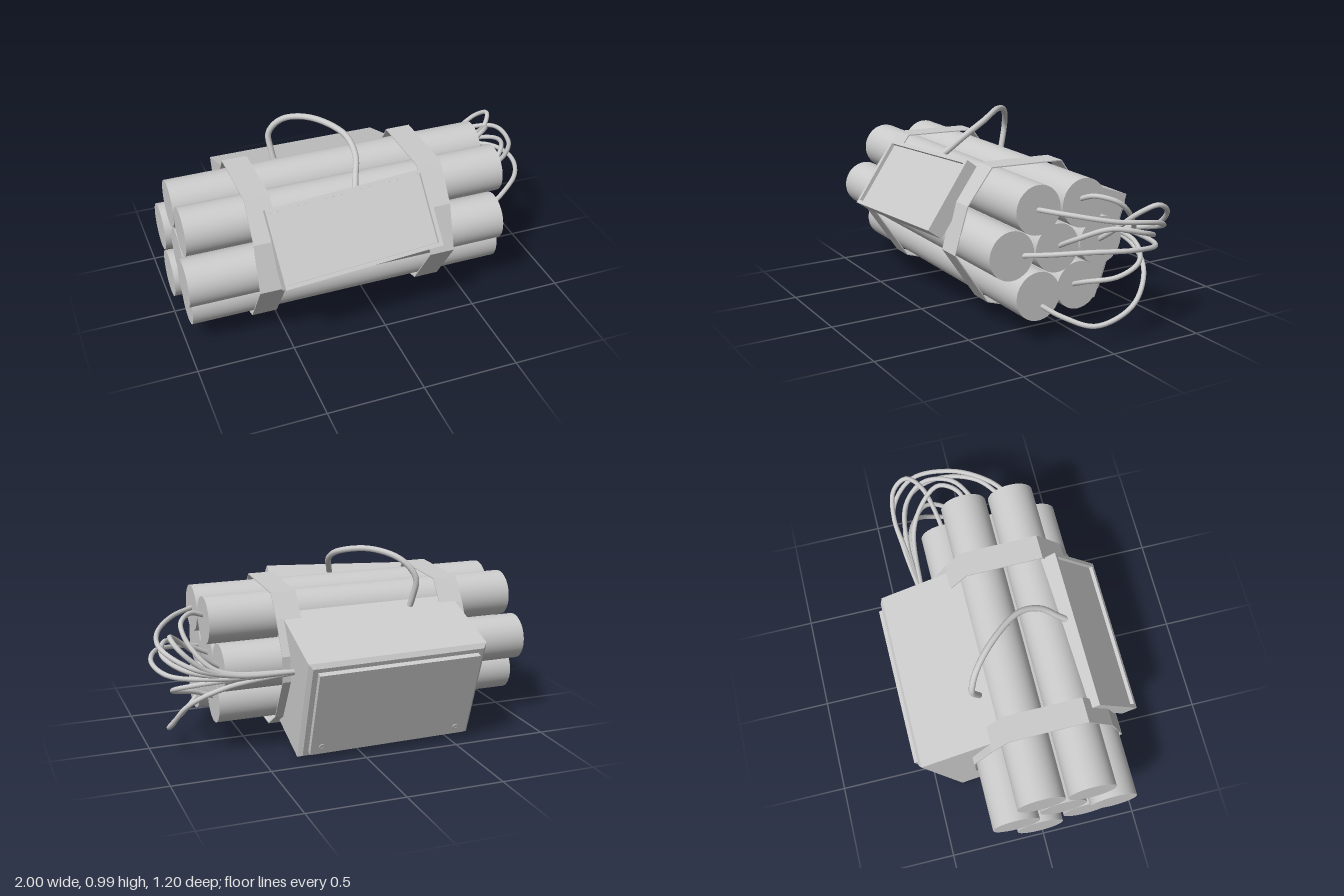
import * as THREE from 'three';

const mat = new THREE.MeshStandardMaterial({ color: 0xcccccc });
const flat = new THREE.MeshStandardMaterial({ color: 0xcccccc, flatShading: true, side: THREE.DoubleSide });

function add(parent, name, geometry, material = mat) {
  const mesh = new THREE.Mesh(geometry, material);
  mesh.name = name;
  parent.add(mesh);
  return mesh;
}

const box = (w, h, d) => new THREE.BoxGeometry(w, h, d);

// Smooth wire through a few points
function wire(parent, name, points, radius) {
  const curve = new THREE.CatmullRomCurve3(points.map(p => new THREE.Vector3(...p)));
  return add(parent, name, new THREE.TubeGeometry(curve, 48, radius, 10, false), mat);
}

// Rectangular frame of given outer size, extruded along z
function frame(w, h, border, depth) {
  const rect = (P, a, b) => new P([[-a, -b], [a, -b], [a, b], [-a, b]].map(p => new THREE.Vector2(...p)));
  const shape = rect(THREE.Shape, w / 2, h / 2);
  shape.holes.push(rect(THREE.Path, w / 2 - border, h / 2 - border));
  return new THREE.ExtrudeGeometry(shape, { depth, bevelEnabled: false });
}

function createSticks() {
  const g = new THREE.Group();
  g.name = 'cylinders';
  // z, y, start x, end x
  const rows = [
    [0.233, 0.673, -0.97, 0.70], [-0.025, 0.673, -0.97, 0.70],
    [0.353, 0.457, -1.0, 0.66], [0.098, 0.457, -0.97, 0.66], [-0.156, 0.457, -1.0, 0.66],
    [0.23, 0.248, -0.97, 0.70], [-0.025, 0.248, -1.0, 0.66],
  ];
  for (const [z, y, x0, x1] of rows) {
    const m = add(g, 'cylinder', new THREE.CylinderGeometry(0.122, 0.122, x1 - x0, 40));
    m.rotation.z = Math.PI / 2;
    m.position.set((x0 + x1) / 2, y, z);
  }
  return g;
}

// Angular straps wrapped around the bundle
function createStraps() {
  const g = new THREE.Group();
  g.name = 'straps';
  const outline = [[0.29, 0.818], [-0.115, 0.808], [-0.2, 0.69], [-0.293, 0.52], [-0.293, 0.386],
    [-0.156, 0.155], [-0.04, 0.08], [0.19, 0.09], [0.317, 0.13], [0.5, 0.403], [0.427, 0.64]];
  // shape x is -z, so a quarter turn about y lays the depth along x
  const pts = outline.map(([z, y]) => new THREE.Vector2(-z, y));
  const centre = new THREE.Vector2(-0.1, 0.45);
  const shape = new THREE.Shape(pts);
  shape.holes.push(new THREE.Path(pts.map(p => p.clone().sub(centre).multiplyScalar(0.985).add(centre))));
  for (const x of [-0.66, 0.24]) {
    const geo = new THREE.ExtrudeGeometry(shape, { depth: 0.13, bevelEnabled: false });
    geo.rotateY(Math.PI / 2);
    add(g, 'strap', geo, flat).position.x = x;
  }
  return g;
}

// Tilted front display with a recessed face
function createDisplay() {
  const g = new THREE.Group();
  g.name = 'display';
  const w = 0.827, h = 0.396, depth = 0.09, recess = 0.02;
  add(g, 'displayBody', box(w, h, depth - recess)).position.z = -(depth + recess) / 2;
  add(g, 'displayFrame', frame(w, h, 0.02, recess)).position.z = -recess;
  const u = new THREE.Vector3(0.826, 0.047, -0.0125).normalize();
  const n = u.clone().cross(new THREE.Vector3(-0.02, 0.3175, -0.2325)).normalize();
  const v = n.clone().cross(u);
  g.quaternion.setFromRotationMatrix(new THREE.Matrix4().makeBasis(u, v, n));
  g.position.set(-0.157, 0.654, 0.479);
  return g;
}

// Large housing on the back: box, chamfered rim, raised lid and two screws
function createHousing() {
  const g = new THREE.Group();
  g.name = 'housing';
  const w = 0.95, h = 0.58, depth = 0.477, chamfer = 0.02;
  add(g, 'housingBody', box(w, h, depth - chamfer)).position.z = (depth + chamfer) / 2;
  const rim = box(w, h, chamfer);
  const p = rim.attributes.position;
  for (let i = 0; i < p.count; i++) {
    if (p.getZ(i) < 0) p.setXY(i, p.getX(i) - Math.sign(p.getX(i)) * 0.02, p.getY(i) - Math.sign(p.getY(i)) * 0.02);
  }
  rim.computeVertexNormals();
  add(g, 'housingRim', rim).position.z = chamfer / 2;
  add(g, 'housingLid', box(0.855, 0.494, 0.03)).position.z = -0.013;
  for (const x of [-0.37, 0.37]) {
    const ring = add(g, 'screwRim', new THREE.TorusGeometry(0.012, 0.003, 8, 20));
    ring.position.set(x, -0.2, -0.028);
    const screw = add(g, 'screw', new THREE.CylinderGeometry(0.01, 0.01, 0.004, 16));
    screw.rotation.x = Math.PI / 2;
    screw.position.set(x, -0.2, -0.028);
  }
  g.rotation.set(-0.34, 0.01, -0.006);
  g.position.set(-0.15, 0.2835, -0.4815);
  return g;
}

function createWires() {
  const g = new THREE.Group();
  g.name = 'wires';
  // Thick wire looping over the top from display to housing
  wire(g, 'topWire', [[-0.11, 0.77, 0.34], [-0.085, 0.82, 0.28], [-0.055, 0.89, 0.2], [-0.07, 0.95, 0.085],
    [-0.19, 0.983, -0.075], [-0.31, 0.94, -0.19], [-0.375, 0.85, -0.23], [-0.37, 0.75, -0.21],
    [-0.355, 0.66, -0.18]], 0.016);
  // Thin wires from the cylinder ends round to the housing
  const runs = [
    [[0.68, 0.676, 0.245], [0.82, 0.665, 0.14], [0.94, 0.635, -0.04], [0.96, 0.605, -0.26], [0.84, 0.54, -0.39], [0.62, 0.48, -0.385]],
    [[0.68, 0.69, -0.005], [0.77, 0.72, -0.04], [0.84, 0.69, -0.13], [0.81, 0.59, -0.23], [0.7, 0.49, -0.31]],
    [[0.64, 0.445, 0.295], [0.78, 0.475, 0.22], [0.92, 0.505, 0.1], [0.985, 0.5, -0.1], [0.93, 0.48, -0.28], [0.7, 0.465, -0.36]],
    [[0.64, 0.458, 0.085], [0.76, 0.52, 0.06], [0.9, 0.59, -0.04], [0.95, 0.56, -0.2], [0.86, 0.51, -0.32], [0.64, 0.47, -0.36]],
    [[0.64, 0.452, -0.15], [0.74, 0.52, -0.165], [0.88, 0.64, -0.22], [0.93, 0.68, -0.29], [0.9, 0.63, -0.37], [0.78, 0.53, -0.4], [0.6, 0.475, -0.375]],
    [[0.64, 0.25, 0], [0.74, 0.29, -0.01], [0.88, 0.34, -0.1], [0.89, 0.39, -0.21], [0.72, 0.44, -0.32]],
    [[0.68, 0.203, 0.22], [0.77, 0.15, 0.14], [0.88, 0.115, 0.02], [0.91, 0.19, -0.17], [0.85, 0.32, -0.28], [0.68, 0.41, -0.34]],
  ];
  for (const run of runs) wire(g, 'thinWire', [...run, [0.31, 0.455, -0.345]], 0.0125);
  return g;
}

export function createModel() {
  const model = new THREE.Group();
  model.name = 'bundleProp';
  model.add(createSticks(), createStraps(), createDisplay(), createHousing(), createWires());
  return model;
}
